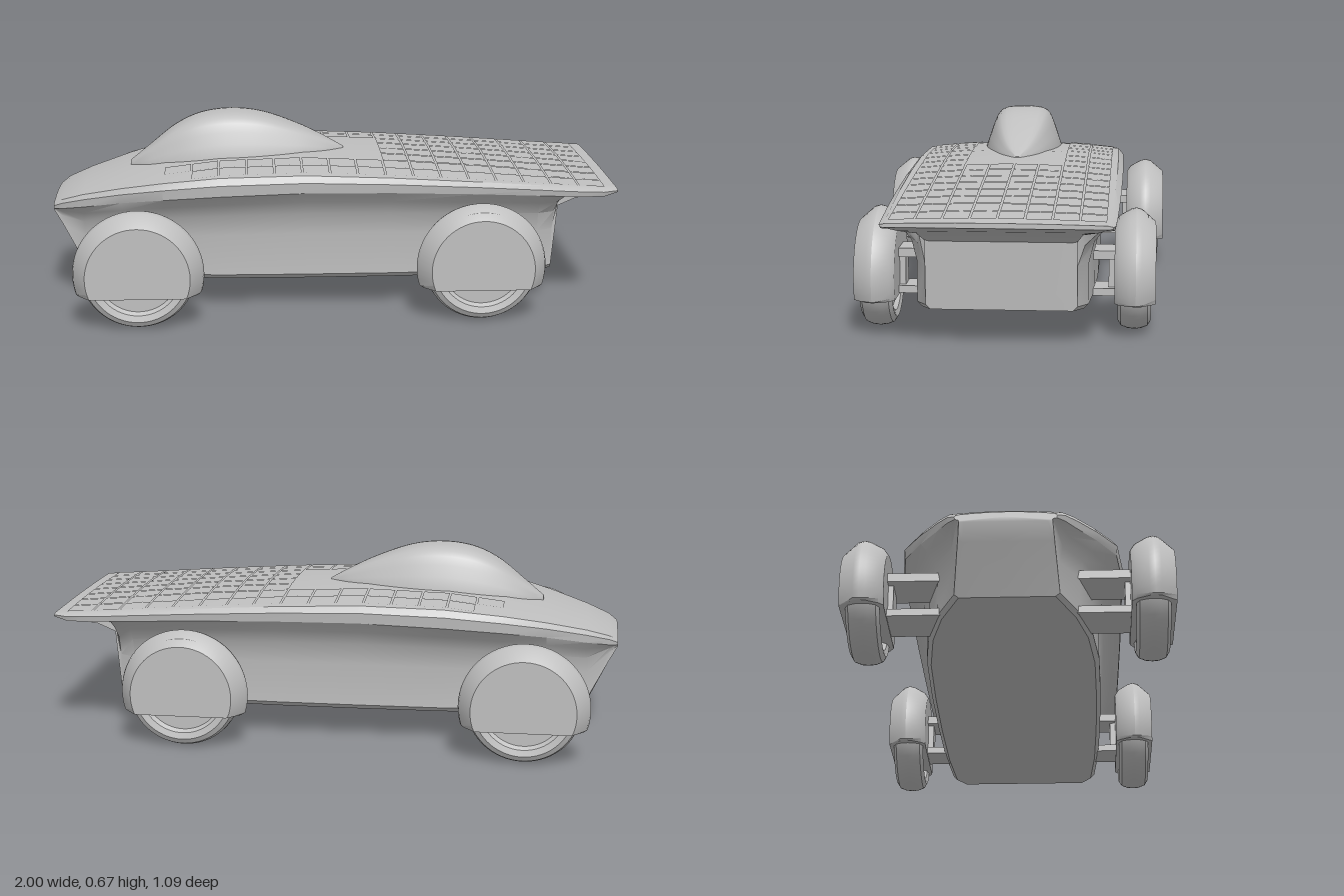
import * as THREE from 'three';
import { toCreasedNormals } from 'three/addons/utils/BufferGeometryUtils.js';

const grey = new THREE.MeshStandardMaterial({ color: 0xbfbfbf });
grey.name = 'body grey';

function add(parent, name, geometry, x = 0, y = 0, z = 0) {
  const mesh = new THREE.Mesh(geometry, grey);
  mesh.name = name;
  mesh.position.set(x, y, z);
  parent.add(mesh);
  return mesh;
}

// Skin over closed rings that run top -> left side -> bottom -> right side, front to back
function loft(rings, crease) {
  const n = rings[0].length, pos = [], idx = [];
  rings.forEach((r) => r.forEach((p) => pos.push(...p)));
  for (let j = 0; j < rings.length - 1; j++) {
    for (let i = 0; i < n; i++) {
      const a = j * n + i, b = j * n + ((i + 1) % n);
      idx.push(a, b, a + n, b, b + n, a + n);
    }
  }
  [0, rings.length - 1].forEach((j) => {
    const c = pos.length / 3, r = rings[j];
    pos.push(r[0][0], (Math.max(...r.map((p) => p[1])) + Math.min(...r.map((p) => p[1]))) / 2, 0);
    for (let i = 0; i < n; i++) {
      const a = j * n + i, b = j * n + ((i + 1) % n);
      if (j) idx.push(c, a, b); else idx.push(c, b, a);
    }
  });
  const g = new THREE.BufferGeometry();
  g.setAttribute('position', new THREE.Float32BufferAttribute(pos, 3));
  g.setIndex(idx);
  return toCreasedNormals(g, crease);
}

// Half section [z, y] mirrored into a full ring at x
function ring(x, half) {
  const back = half.slice(1, -1).reverse().map(([z, y]) => [x, y, -z]);
  return half.map(([z, y]) => [x, y, z]).concat(back);
}

// Body stations: x, deck half width, crown height, edge height, lip height, hull half width, floor height
const stations = [
  [-1, 0.165, 0.37, 0.36, 0.345, 0.15, 0.335],
  [-0.97, 0.19, 0.39, 0.38, 0.35, 0.155, 0.28],
  [-0.89, 0.23, 0.422, 0.407, 0.365, 0.17, 0.12],
  [-0.75, 0.298, 0.462, 0.443, 0.395, 0.235, 0.113],
  [-0.6, 0.365, 0.496, 0.475, 0.42, 0.275, 0.11],
  [-0.4, 0.387, 0.52, 0.496, 0.435, 0.298, 0.11],
  [-0.1, 0.39, 0.528, 0.502, 0.445, 0.305, 0.11],
  [0.2, 0.39, 0.513, 0.49, 0.442, 0.305, 0.11],
  [0.5, 0.387, 0.49, 0.472, 0.433, 0.3, 0.112],
  [0.73, 0.383, 0.47, 0.456, 0.423, 0.285, 0.115],
  [0.79, 0.381, 0.464, 0.451, 0.42, 0.25, 0.118],
  [0.81, 0.381, 0.462, 0.45, 0.419, 0.25, 0.35],
  [0.87, 0.379, 0.457, 0.446, 0.416, 0.27, 0.385],
  [0.95, 0.376, 0.45, 0.441, 0.416, 0.32, 0.408],
  [1, 0.37, 0.445, 0.44, 0.43, 0.36, 0.428],
];

function bodyRing([x, w, yC, yE, yL, h, yB]) {
  const deck = [0, 0.35, 0.65, 0.85, 0.95].map((f) => [w * f, yC - (yC - yE) * f * f]);
  const drop = yL - yB;
  return ring(x, [...deck,
    [w, yE - (yE - yL) * 0.35],
    [w * 0.99, yL],
    [h + (w - h) * 0.55, yL - drop * 0.12],
    [h + (w - h) * 0.18, yL - drop * 0.27],
    [h, yL - drop * 0.5],
    [h, yB + drop * 0.05],
    [h - 0.015, yB],
    [0, yB]]);
}

// Interpolated deck values at x
function deckAt(x) {
  let i = 0;
  while (i < stations.length - 2 && stations[i + 1][0] < x) i++;
  const a = stations[i], b = stations[i + 1], t = (x - a[0]) / (b[0] - a[0]);
  return a.map((v, k) => v + (b[k] - v) * t);
}
function deckY(x, z) {
  const [, w, yC, yE] = deckAt(x);
  return yC - (yC - yE) * (z / w) ** 2;
}

// Solar cells: thin tiles following the deck, skipping the area round the canopy
function solarCells() {
  const pos = [], pitch = 0.0975, zPitch = 0.0875, gap = 0.003;
  for (let x = -0.6; x < 0.9; x += pitch) {
    for (let k = -4; k < 4; k++) {
      const z = k * zPitch;
      if (x < 0.12 && (k === -2 || k === -1 || k === 0 || k === 1)) continue;
      if (Math.max(Math.abs(z), Math.abs(z + zPitch)) > deckAt(x)[1] * 0.94) continue;
      const P = (u, v) => [u, deckY(u, v) + 0.003, v];
      const x0 = x + gap, x1 = x + pitch - gap, z0 = z + gap, z1 = z + zPitch - gap;
      pos.push(...P(x0, z0), ...P(x0, z1), ...P(x1, z0), ...P(x0, z1), ...P(x1, z1), ...P(x1, z0));
    }
  }
  const g = new THREE.BufferGeometry();
  g.setAttribute('position', new THREE.Float32BufferAttribute(pos, 3));
  g.computeVertexNormals();
  return g;
}

// Teardrop canopy from a smooth curve of x, half width, top height
function canopy() {
  const curve = new THREE.CatmullRomCurve3([
    [-0.73, 0.012, 0.482], [-0.66, 0.075, 0.535], [-0.56, 0.118, 0.612], [-0.47, 0.138, 0.652],
    [-0.36, 0.145, 0.666], [-0.25, 0.137, 0.654], [-0.12, 0.107, 0.609], [-0.02, 0.064, 0.562],
    [0.05, 0.01, 0.525]].map((p) => new THREE.Vector3(...p)));
  const shape = [[0, 1], [0.25, 0.995], [0.45, 0.97], [0.6, 0.91], [0.7, 0.8], [0.79, 0.6],
    [0.89, 0.32], [1, 0], [1, -0.2], [0, -0.2]];
  return loft(curve.getPoints(40).map(({ x, y: w, z: top }) => {
    const base = deckY(x, w) - 0.004, rise = Math.max(top - base, 0.004);
    return ring(x, shape.map(([z, y]) => [w * z, base + rise * y]));
  }), 0.8);
}

// Disc turned round the z axis from [radius, z] points, optionally cut flat below a height
function turned(points, cut = -1) {
  const g = new THREE.LatheGeometry(points.map((p) => new THREE.Vector2(...p)), 64);
  g.rotateX(Math.PI / 2);
  const p = g.attributes.position;
  for (let i = 0; i < p.count; i++) p.setY(i, Math.max(p.getY(i), cut));
  return toCreasedNormals(g, 0.5);
}

// Wheel with tyre, hub, cut-off fairing and suspension arms, outer side at +z
function wheelUnit(name, z, inner, armWidth, s) {
  const unit = new THREE.Group();
  unit.name = name;
  const tyre = [[0, -0.035], [0.14, -0.035], [0.15, -0.05], [0.172, -0.056], [0.19, -0.045], [0.199, -0.022],
    [0.201, 0], [0.199, 0.022], [0.19, 0.045], [0.172, 0.056], [0.15, 0.05], [0.14, 0.035], [0, 0.035]];
  add(unit, 'tyre', turned(tyre), 0, 0.202, z);
  add(unit, 'hub', turned([[0, -0.06], [0.04, -0.06], [0.04, 0.05], [0, 0.05]]), 0, 0.202, z);
  const fairing = [[0, -0.07], [0.178, -0.07], [0.2, -0.055], [0.222, -0.015], [0.227, 0.005],
    [0.222, 0.025], [0.18, 0.075], [0, 0.075]];
  add(unit, 'wheelFairing', turned(fairing.map(([r, d]) => [r, d * s]), -0.07), 0, 0.188, z);
  const reach = z - 0.05 - inner, mid = inner + reach / 2;
  add(unit, 'upperArm', new THREE.BoxGeometry(armWidth, 0.03, reach), 0, 0.263, mid);
  add(unit, 'lowerArm', new THREE.BoxGeometry(armWidth, 0.025, reach), 0, 0.135, mid);
  add(unit, 'upright', new THREE.BoxGeometry(armWidth * 0.6, 0.15, 0.025), 0, 0.2, z - 0.075);
  return unit;
}

export function createModel() {
  const car = new THREE.Group();
  car.name = 'solarCar';
  add(car, 'body', loft(stations.map(bodyRing), 0.55));
  add(car, 'solarCells', solarCells());
  add(car, 'canopy', canopy());

  // Each axle is repeated on the far side by a half turn
  [['front', -0.685, 0.47, 0.2, 0.16, 1], ['rear', 0.51, 0.435, 0.25, 0.12, 0.95]].forEach(
    ([name, x, z, inner, arm, s]) => [0, Math.PI].forEach((turn, i) => {
      const unit = wheelUnit(name + (i ? 'FarWheel' : 'NearWheel'), z, inner, arm, s);
      unit.position.x = x;
      unit.rotation.y = turn;
      car.add(unit);
    }));
  return car;
}
